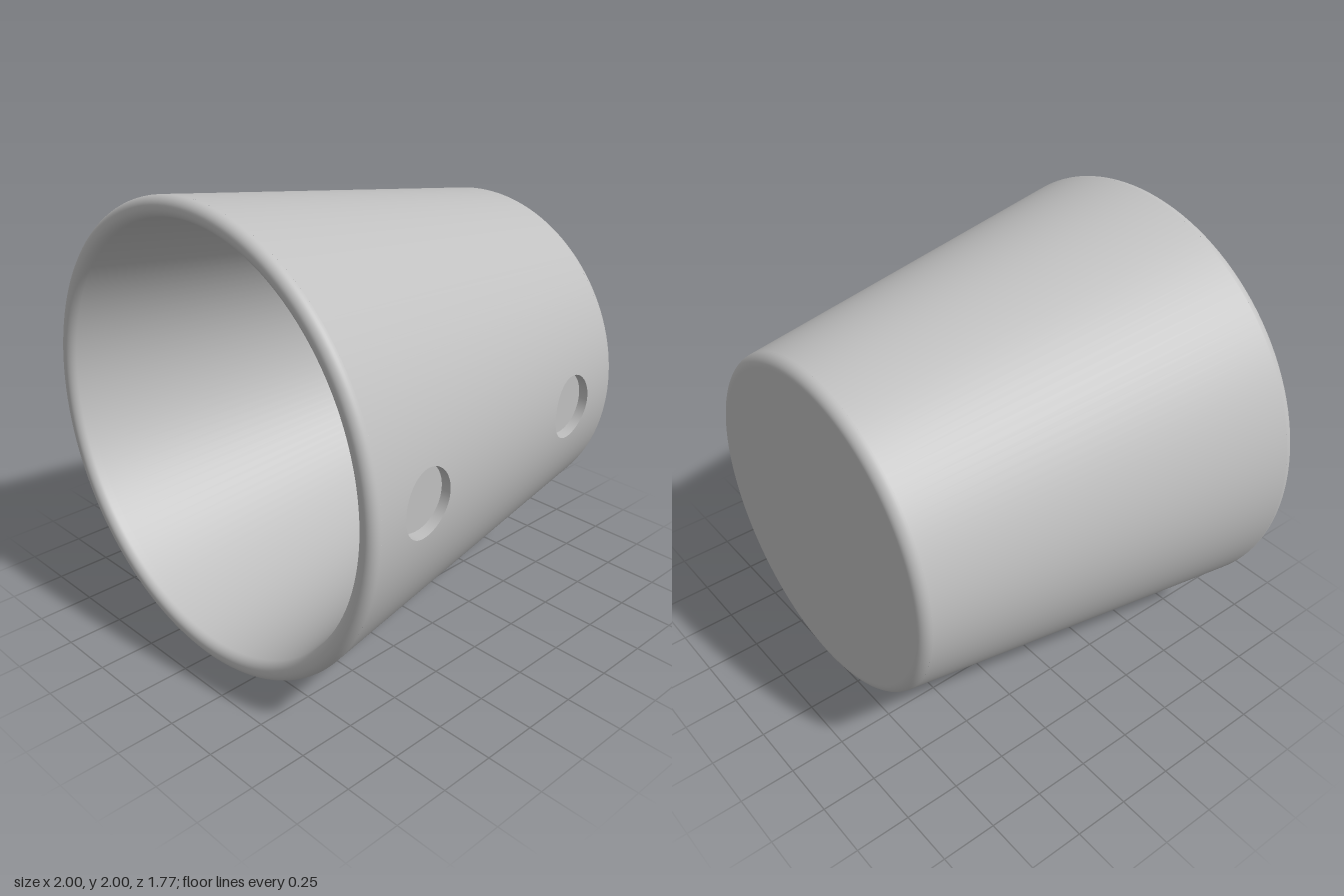
import * as THREE from 'three';

const SLOPE = 0.147, TILT = Math.atan(SLOPE), HALF = 0.885;
const FLOOR_Z = -0.79, SECTOR = 0.3, POCKET_R = 0.14;
const outerR = z => 0.876 + SLOPE * z;
const innerR = z => 0.79 + SLOPE * z;

// Rounded corner of a profile (radius across, z along)
function arc(cr, cz, rad, a0, a1, n = 10) {
  return Array.from({ length: n + 1 }, (_, i) => {
    const a = a0 + (a1 - a0) * i / n;
    return new THREE.Vector2(cr + rad * Math.cos(a), cz + rad * Math.sin(a));
  });
}

// Lathe whose axis lies along z
function turned(points, start = 0, length = Math.PI * 2) {
  return new THREE.LatheGeometry(points, 128, start, length).rotateX(Math.PI / 2);
}

// Surface grid from a point rule and a normal rule
function grid(nu, nv, rule) {
  const pos = [], nor = [], idx = [];
  for (let j = 0; j <= nv; j++) for (let i = 0; i <= nu; i++) {
    const { p, n } = rule(i / nu * Math.PI * 2, j / nv);
    pos.push(...p);
    nor.push(...new THREE.Vector3(...n).normalize().toArray());
    if (i < nu && j < nv) {
      const a = j * (nu + 1) + i, b = a + nu + 1;
      idx.push(a, b, b + 1, a, b + 1, a + 1);
    }
  }
  const g = new THREE.BufferGeometry();
  g.setAttribute('position', new THREE.Float32BufferAttribute(pos, 3));
  g.setAttribute('normal', new THREE.Float32BufferAttribute(nor, 3));
  g.setIndex(idx);
  return g;
}

export function createModel() {
  const model = new THREE.Group();
  const grey = new THREE.MeshStandardMaterial({ color: 0xc0c0c0 });
  grey.name = 'plainGrey';
  const cup = new THREE.Group();
  cup.name = 'cup';
  cup.position.y = 1;
  model.add(cup);
  const add = (name, geometry) => {
    const m = new THREE.Mesh(geometry, grey);
    m.name = name;
    cup.add(m);
    return m;
  };
  const P = (r, z) => new THREE.Vector2(r, z);
  const k = 1 / Math.cos(TILT);

  // Closed back end with a rounded edge
  const backZ = -HALF + 0.05;
  const backArc = arc(outerR(backZ) - 0.05 * k, backZ, 0.05, -Math.PI / 2, -TILT);
  add('base', turned([P(0, -HALF), P(backArc[0].x - 0.005, -HALF), ...backArc]));

  // Rounded lip, inner wall, floor fillet and inner floor
  const lipZ = HALF - 0.04, filletZ = FLOOR_Z + 0.03;
  const lipOut = arc(outerR(lipZ) - 0.04 * k, lipZ, 0.04, -TILT, Math.PI / 2);
  const lipIn = arc(innerR(lipZ) + 0.04 * k, lipZ, 0.04, Math.PI / 2, Math.PI - TILT);
  const fillet = arc(innerR(filletZ) - 0.03 * k, filletZ, 0.03, -TILT, -Math.PI / 2, 6);
  add('lipAndInside', turned([
    ...lipOut, ...lipIn, P(innerR(0.82), 0.82), P(innerR(-0.74), -0.74),
    ...fillet, P(fillet[6].x - 0.005, FLOOR_Z), P(0, FLOOR_Z),
  ]));

  // Outer wall, leaving a narrow sector on the left side for the pockets
  const wallBack = backArc[10], wallFront = lipOut[0];
  add('outerWall', turned([wallBack, wallFront],
    Math.PI / 2 + SECTOR, Math.PI * 2 - SECTOR * 2));

  // Two round blind pockets, each cut into its half of the sector
  const pockets = [
    { name: 'frontPocket', z: 0.555, z0: 0.02, z1: wallFront.y, floor: 0.893 },
    { name: 'backPocket', z: -0.515, z0: wallBack.y, z1: 0.02, floor: 0.736 },
  ];
  for (const q of pockets) {
    const rimAt = a => {
      const y = POCKET_R * Math.cos(a), z = q.z + POCKET_R * Math.sin(a);
      return { y, z, theta: Math.asin(y / outerR(z)) };
    };
    add(q.name + 'Surround', grid(64, 8, (a, v) => {
      const c = Math.cos(a), s = Math.sin(a), d = Math.max(Math.abs(c), Math.abs(s));
      const rim = rimAt(a);
      const edgeZ = q.z + (s > 0 ? q.z1 - q.z : q.z - q.z0) * s / d;
      const t = THREE.MathUtils.lerp(rim.theta, SECTOR * c / d, v);
      const z = THREE.MathUtils.lerp(rim.z, edgeZ, v), r = outerR(z);
      return {
        p: [r * Math.cos(t), r * Math.sin(t), z],
        n: [Math.cos(t), Math.sin(t), -SLOPE],
      };
    }));
    add(q.name + 'Side', grid(64, 1, (a, v) => {
      const { y, z } = rimAt(a);
      const top = Math.sqrt(outerR(z) ** 2 - y * y);
      return {
        p: [THREE.MathUtils.lerp(q.floor, top, v), y, z],
        n: [0, -Math.cos(a), -Math.sin(a)],
      };
    }));
    add(q.name + 'Floor', new THREE.CircleGeometry(POCKET_R, 64).rotateY(Math.PI / 2))
      .position.set(q.floor, 0, q.z);
  }
  return model;
}
